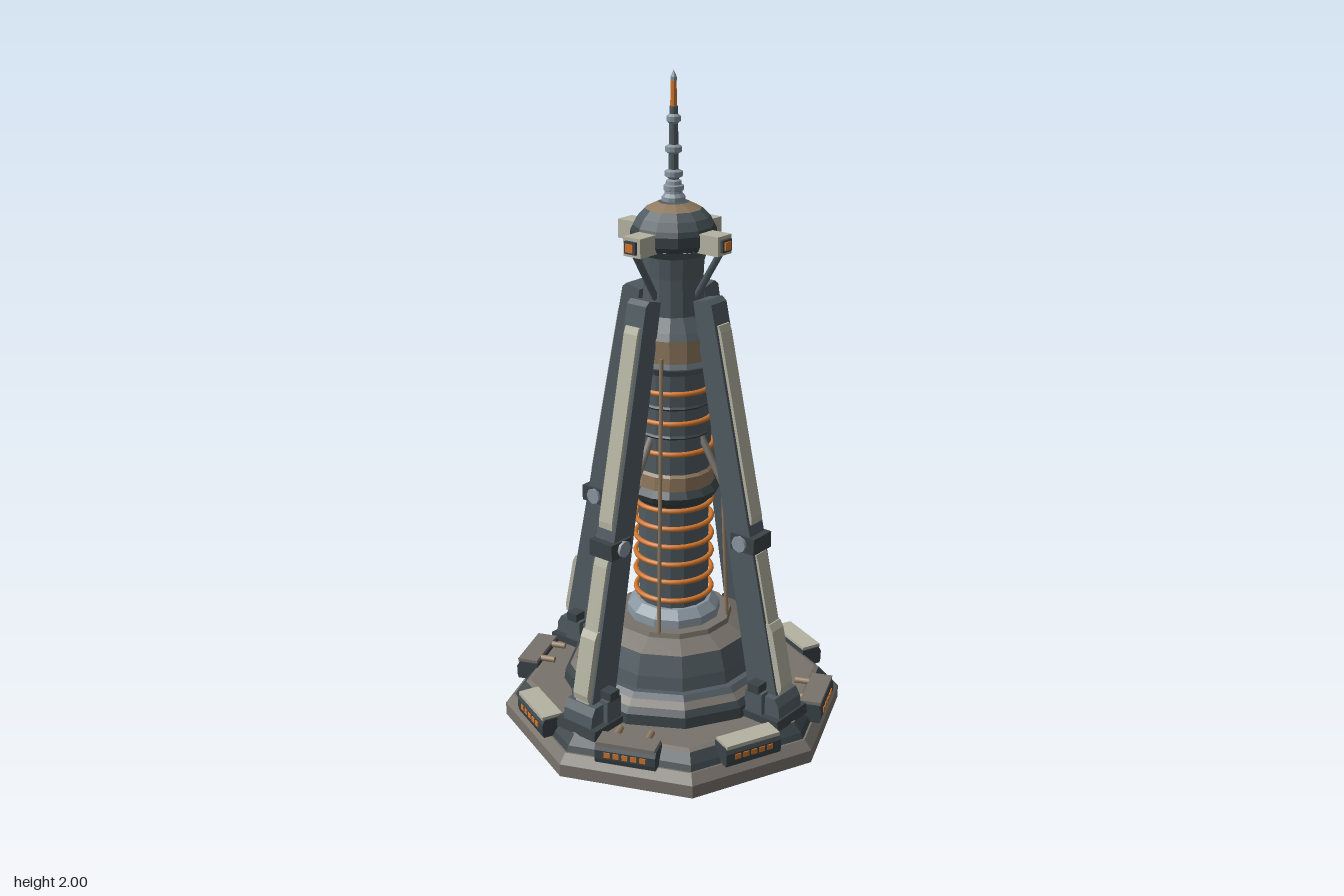
import * as THREE from 'three';

const material = (name, color) => {
  const m = new THREE.MeshStandardMaterial({ color });
  m.name = name;
  return m;
};

export function createModel() {
  const slate = material('slate', 0x505b61), dark = material('dark slate', 0x3b4448);
  const stone = material('warm grey', 0x79736c), cream = material('cream', 0xb4b3a2);
  const steel = material('light steel', 0x8996a0), bronze = material('bronze', 0x917a60);
  const orange = material('copper', 0xd0762e);
  const tower = new THREE.Group();
  tower.name = 'tower';

  const add = (parent, name, geometry, mat, x = 0, y = 0, z = 0) => {
    const mesh = new THREE.Mesh(geometry, mat);
    mesh.name = name;
    mesh.position.set(x, y, z);
    parent.add(mesh);
    return mesh;
  };
  const box = (parent, name, mat, w, h, d, x, y, z) =>
    add(parent, name, new THREE.BoxGeometry(w, h, d), mat, x, y, z);
  // Faceted turned part; profile is [radius, height] from bottom to top
  const turned = (name, mat, profile, sides = 12) => {
    const pts = profile.map(([r, y]) => new THREE.Vector2(r, y));
    const g = new THREE.LatheGeometry(pts, sides, sides === 8 ? 0 : Math.PI / sides).toNonIndexed();
    g.computeVertexNormals();
    return add(tower, name, g, mat);
  };
  // Side outline in [radial, height], given a thickness across the leg
  const slab = (parent, name, mat, outline, width, x = 0) => {
    const shape = new THREE.Shape(outline.map(([r, y]) => new THREE.Vector2(r, y)));
    const g = new THREE.ExtrudeGeometry(shape, { depth: width, bevelEnabled: false });
    g.translate(0, 0, -width / 2).rotateY(-Math.PI / 2);
    return add(parent, name, g, mat, x);
  };
  const rod = (parent, name, mat, a, b, radius, sides = 6) => {
    const from = new THREE.Vector3(...a), to = new THREE.Vector3(...b);
    const dir = to.clone().sub(from);
    const mesh = add(parent, name, new THREE.CylinderGeometry(radius, radius, dir.length(), sides), mat);
    mesh.position.copy(from).add(to).multiplyScalar(0.5);
    mesh.quaternion.setFromUnitVectors(new THREE.Vector3(0, 1, 0), dir.normalize());
    return mesh;
  };
  const spoke = (name, angle) => {
    const g = new THREE.Group();
    g.name = name;
    g.rotation.y = angle;
    tower.add(g);
    return g;
  };

  // Octagonal platform
  turned('basePlinth', stone, [[0, 0], [0.53, 0], [0.53, 0.04], [0.505, 0.068], [0.48, 0.068]], 8);
  turned('deckEdge', dark, [[0.5, 0.066], [0.49, 0.085], [0.465, 0.112]], 8);
  turned('deck', stone, [[0.465, 0.112], [0.45, 0.118], [0, 0.118]], 8);

  // Stepped pedestal
  turned('pedestalFoot', dark, [[0.345, 0.115], [0.34, 0.15], [0.325, 0.168]]);
  turned('pedestalTrim', stone, [[0.325, 0.168], [0.305, 0.185]]);
  turned('pedestalStep', slate, [[0.305, 0.185], [0.29, 0.2], [0.27, 0.2], [0.262, 0.24], [0.24, 0.302]]);
  turned('pedestalShoulder', stone, [[0.24, 0.302], [0.182, 0.33], [0.178, 0.345], [0.13, 0.345]]);
  turned('pedestalCollar', steel, [[0.145, 0.345], [0.143, 0.37], [0.118, 0.395], [0.1, 0.397]]);

  // Central column
  turned('lowerColumn', slate, [[0.107, 0.39], [0.107, 0.72], [0.115, 0.735]], 16);
  turned('columnFlare', dark, [[0.107, 0.725], [0.13, 0.745], [0.14, 0.765], [0.125, 0.785]], 16);
  turned('middleBand', bronze, [[0.122, 0.78], [0.12, 0.825], [0.11, 0.835]], 16);
  turned('upperColumn', slate, [[0.112, 0.83], [0.112, 1.14], [0.125, 1.165]], 16);
  turned('upperCollar', steel, [[0.112, 1.15], [0.128, 1.165], [0.128, 1.185]], 16);
  turned('upperBand', bronze, [[0.132, 1.183], [0.132, 1.25]], 16);
  turned('neck', slate, [[0.132, 1.25], [0.12, 1.27], [0.092, 1.31], [0.087, 1.42], [0.09, 1.48], [0.118, 1.505]], 16);

  // Copper coils
  const coilLevels = [0.425, 0.487, 0.545, 0.603, 0.662, 0.72, 0.9, 0.995, 1.087];
  for (const y of coilLevels) {
    const ring = add(tower, 'coil', new THREE.TorusGeometry(0.116, 0.008, 8, 32), orange, 0, y, 0);
    ring.rotation.x = Math.PI / 2;
  }
  for (const y of [0.95, 1.04]) turned('columnRib', dark, [[0.11, y - 0.008], [0.117, y], [0.11, y + 0.008]], 16);

  // Head and dome
  turned('headRing', dark, [[0.118, 1.505], [0.125, 1.52], [0.125, 1.55], [0.118, 1.565]]);
  turned('domeLower', slate, [[0.118, 1.565], [0.105, 1.59], [0.082, 1.612]]);
  turned('domeBand', bronze, [[0.082, 1.612], [0.045, 1.63]]);
  turned('domeCap', slate, [[0.045, 1.63], [0.03, 1.634], [0, 1.634]]);

  // Spire
  turned('spireFoot', steel, [[0.034, 1.63], [0.034, 1.645], [0.026, 1.655], [0.022, 1.69], [0.014, 1.695]]);
  turned('spireShaft', slate, [[0.015, 1.68], [0.012, 1.9], [0, 1.905]]);
  for (const [y, r] of [[1.67, 0.029], [1.71, 0.026], [1.78, 0.024], [1.865, 0.02]]) {
    turned('spireRing', steel, [[0.012, y - 0.014], [r, y - 0.007], [r, y + 0.007], [0.012, y + 0.014]]);
  }
  turned('spireNeedle', orange, [[0.01, 1.895], [0.008, 1.975]], 8);
  turned('spireTip', steel, [[0.009, 1.97], [0.009, 1.98], [0, 2]], 8);

  const outer = (y) => 0.165 + (1.365 - y) * 0.22; // outer line of a leg
  const plate = (leg, name, y0, y1, thick, width) => slab(leg, name, cream, [
    [outer(y0) - 0.01, y0], [outer(y0) + thick * 0.6, y0], [outer(y0 + 0.02) + thick, y0 + 0.02],
    [outer(y1 - 0.02) + thick, y1 - 0.02], [outer(y1) + thick * 0.6, y1], [outer(y1) - 0.01, y1]], width);

  for (let k = 0; k < 4; k++) {
    const angle = k * Math.PI / 2;

    // Leaning leg with outer armour
    const leg = spoke('leg', angle);
    slab(leg, 'legBeam', slate, [[0.325, 0.16], [outer(0.16), 0.16], [0.166, 1.36], [0.15, 1.372], [0.1, 1.36]], 0.07);
    plate(leg, 'upperArmour', 0.72, 1.3, 0.01, 0.05);
    plate(leg, 'lowerArmour', 0.2, 0.63, 0.008, 0.05);
    plate(leg, 'shinArmour', 0.21, 0.42, 0.02, 0.056);
    slab(leg, 'legJoint', dark, [[0.25, 0.635], [0.335, 0.635], [0.335, 0.685], [0.25, 0.685]], 0.086);
    rod(leg, 'jointPin', steel, [-0.052, 0.66, 0.285], [0.052, 0.66, 0.285], 0.025, 8);

    // Foot
    slab(leg, 'footPad', dark, [[0.31, 0.11], [0.46, 0.11], [0.455, 0.14], [0.32, 0.14]], 0.15);
    slab(leg, 'footBlock', slate, [[0.315, 0.135], [0.45, 0.135], [0.445, 0.175], [0.43, 0.2], [0.325, 0.2]], 0.11);
    box(leg, 'footLug', dark, 0.15, 0.028, 0.04, 0, 0.222, 0.365);
    for (const s of [-1, 1]) {
      box(leg, 'footClamp', slate, 0.03, 0.08, 0.06, s * 0.056, 0.17, 0.365);
    }

    // Brace from leg to column, and head arm with its strut
    rod(leg, 'brace', stone, [0, 0.74, 0.23], [0, 0.94, 0.105], 0.011);
    box(leg, 'headArm', cream, 0.062, 0.056, 0.075, 0, 1.53, 0.147);
    box(leg, 'armCap', dark, 0.04, 0.036, 0.012, 0, 1.53, 0.188);
    box(leg, 'armLamp', orange, 0.026, 0.024, 0.006, 0, 1.53, 0.195);
    rod(leg, 'armStrut', slate, [0, 1.51, 0.172], [0, 1.36, 0.08], 0.011);

    // Cable running up beside the coils
    const cable = spoke('cableGroup', angle + 0.42);
    rod(cable, 'cable', bronze, [0, 0.34, 0.17], [0, 1.2, 0.135], 0.006);

    // Equipment pods along the platform edges
    for (const plain of [false, true]) {
      const pod = spoke('pod', angle + Math.PI / 8 + (plain ? Math.PI / 4 : 0));
      slab(pod, 'podBody', dark, [[0.425, 0.07], [0.49, 0.07], [0.494, 0.085], [0.494, 0.112], [0.485, 0.128], [0.425, 0.128]], 0.185);
      box(pod, 'podLid', plain ? cream : stone, 0.178, 0.012, 0.064, 0, 0.131, 0.459);
      for (let i = -2; i <= 2; i++) {
        box(pod, 'podVent', orange, 0.018, 0.016, 0.006, i * 0.027, 0.1, 0.494);
      }
      if (!plain) {
        for (const s of [-1, 1]) {
          rod(pod, 'podPlug', bronze, [s * 0.048, 0.128, 0.382], [s * 0.048, 0.128, 0.43], 0.01, 8);
        }
      }
    }
  }
  return tower;
}
